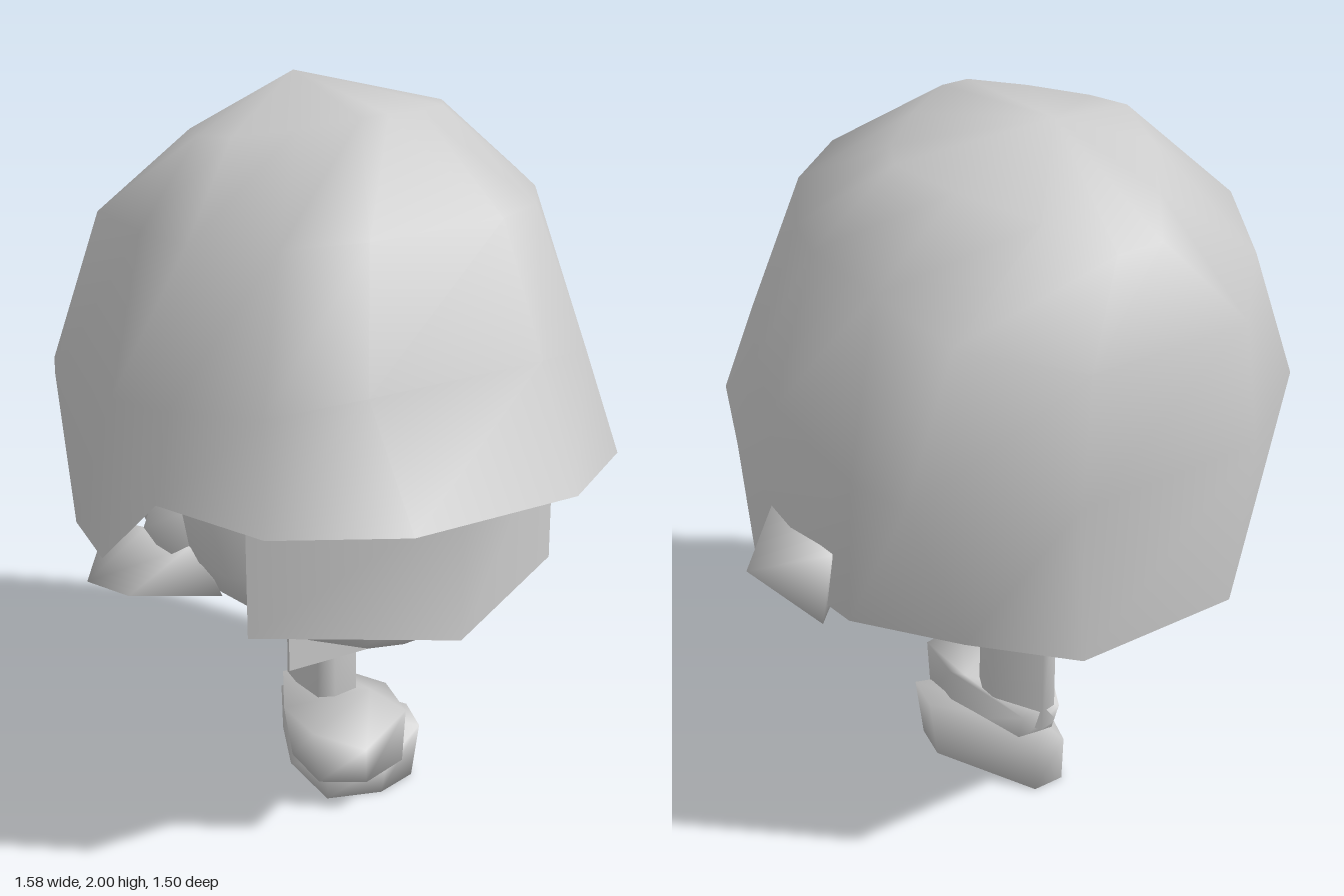
import * as THREE from 'three';
import { mergeVertices } from 'three/addons/utils/BufferGeometryUtils.js';
import { ConvexGeometry } from 'three/addons/geometries/ConvexGeometry.js';

const MID = -0.055; // x of the figure's mirror plane
const V = (p) => new THREE.Vector3(...p);

// Smooth skin over closed loops of [x, y, z], running front -> +x -> back, from low to high.
function loft(loops, bottom, top) {
  const n = loops[0].length, index = [], verts = loops.flat();
  for (let i = 0; i < loops.length - 1; i++) {
    for (let j = 0; j < n; j++) {
      const a = i * n + j, b = i * n + (j + 1) % n;
      index.push(a, b, b + n, a, b + n, a + n);
    }
  }
  const cap = (centre, start, flip) => {
    const c = verts.push(centre) - 1;
    for (let j = 0; j < n; j++) {
      const a = start + j, b = start + (j + 1) % n;
      index.push(c, flip ? b : a, flip ? a : b);
    }
  };
  if (bottom) cap(bottom, 0, true);
  if (top) cap(top, (loops.length - 1) * n, false);
  const g = new THREE.BufferGeometry();
  g.setAttribute('position', new THREE.Float32BufferAttribute(verts.flat(), 3));
  g.setIndex(index);
  g.computeVertexNormals();
  return g;
}

// Smooth-shaded convex solid around a few corners.
function hull(points) {
  let g = new ConvexGeometry(points.map(V));
  g.deleteAttribute('normal');
  g = mergeVertices(g);
  g.computeVertexNormals();
  return g;
}

// Full loop from the +x half of it.
const mirrorLoop = (half) => [...half, ...half.map(([x, y, z]) => [-x, y, z]).reverse()];

export function createModel() {
  const group = new THREE.Group();
  const material = new THREE.MeshStandardMaterial({ color: 0xcccccc, side: THREE.DoubleSide });
  const add = (name, geometry, x = MID) => {
    const mesh = new THREE.Mesh(geometry, material);
    mesh.name = name;
    mesh.position.x = x;
    group.add(mesh);
    return mesh;
  };

  // Bowl-shaped hair: rim, three bands, crown
  const hair = [
    [[0.235, 1.12, 0.75], [0.52, 1.09, 0.53], [0.66, 1.09, 0.22], [0.73, 0.88, 0.03],
      [0.66, 0.825, -0.31], [0.46, 0.795, -0.53], [0.24, 0.77, -0.73]],
    [[0.25, 1.41, 0.56], [0.47, 1.36, 0.44], [0.61, 1.32, 0.2], [0.67, 1.3, 0],
      [0.675, 1.25, -0.36], [0.615, 1.23, -0.51], [0.275, 1.23, -0.75]],
    [[0.19, 1.76, 0.46], [0.37, 1.735, 0.34], [0.51, 1.71, 0.13], [0.56, 1.71, -0.03],
      [0.555, 1.69, -0.3], [0.47, 1.61, -0.5], [0.24, 1.57, -0.73]],
    [[0.04, 1.97, 0.16], [0.18, 1.945, 0.09], [0.31, 1.92, -0.01], [0.36, 1.91, -0.1],
      [0.3, 1.88, -0.27], [0.18, 1.83, -0.45], [0.07, 1.78, -0.6]],
  ].map(mirrorLoop);
  add('hair', loft(hair, null, [0, 2, -0.26]));

  // Head: slightly squared rings of [y, half width, front z, back z]
  const soften = (v) => Math.sign(v) * Math.abs(v) ** 0.87;
  const head = [[0.565, 0.17, 0.32, -0.13], [0.62, 0.29, 0.4, -0.22], [0.72, 0.42, 0.47, -0.37],
    [0.85, 0.54, 0.48, -0.58], [1.05, 0.59, 0.46, -0.66], [1.4, 0.52, 0.38, -0.62]]
    .map(([y, rx, front, back]) => Array.from({ length: 12 }, (_, i) => {
      const a = (i / 12) * Math.PI * 2;
      return [rx * soften(Math.sin(a)), y,
        (front + back) / 2 + (front - back) / 2 * soften(Math.cos(a))];
    }));
  add('head', loft(head, [0, 0.52, 0.06], [0, 1.6, -0.1]));

  // Visor: a strip around the face, folded once at the middle
  const strip = new THREE.PlaneGeometry(1, 1, 2, 1);
  [[-0.465, 0.32], [0, 0.6], [0.465, 0.32]].forEach(([x, z], i) => {
    strip.attributes.position.setXYZ(i, x, 1.11, z);
    strip.attributes.position.setXYZ(i + 3, x, 0.71, z);
  });
  strip.computeVertexNormals();
  add('visor', strip);

  // Small pointed ears
  for (const s of [1, -1]) {
    add(s > 0 ? 'leftEar' : 'rightEar', hull([[0.46, 1.02, 0.14], [0.62, 0.95, 0.05],
      [0.48, 0.77, 0.1], [0.53, 0.81, -0.02], [0.57, 1.03, 0.02], [0.4, 0.92, 0.08]]
      .map(([x, y, z]) => [s * x, y, z])));
  }

  // Faceted bud by the left ear
  add('leftBud', hull([[0.785, 0.94, -0.12], [0.64, 1.05, -0.02], [0.63, 1.01, -0.28],
    [0.64, 0.79, -0.24], [0.66, 0.8, 0], [0.48, 0.83, -0.1], [0.5, 1.0, -0.12]]), 0);

  // Flared flap by the right ear
  add('rightFlap', hull([[-0.62, 0.89, -0.06], [-0.57, 0.89, 0.1], [-0.79, 0.77, -0.07],
    [-0.73, 0.77, 0.06], [-0.52, 0.77, 0.18], [-0.5, 0.8, 0.05],
    [-0.66, 0.86, -0.22], [-0.55, 0.77, -0.28]]), 0);

  // Flat collar in front of the neck
  const collar = add('collar', new THREE.PlaneGeometry(0.465, 0.26));
  collar.position.set(-0.052, 0.57, 0.1);

  // Slim body: one uneven column from head to shoes
  const column = [[-0.08, -0.01], [0, -0.03], [0.02, -0.07], [0.02, -0.12], [-0.06, -0.25],
    [-0.11, -0.24], [-0.125, -0.16], [-0.125, -0.03]];
  add('body', loft([0.16, 0.64].map((y) => column.map(([x, z]) => [x, y, z])),
    [-0.05, 0.16, -0.13], [-0.05, 0.64, -0.13]), 0);

  // Shoes: plan points [x, z, lower y, upper y]; the sole is the outline scaled by taper
  const shoe = (name, outline, centre, taper) => {
    const ring = (k, s) => outline.map((p) =>
      [centre[0] + (p[0] - centre[0]) * s, p[k], centre[1] + (p[1] - centre[1]) * s]);
    const mean = (k) => outline.reduce((t, p) => t + p[k], 0) / outline.length;
    add(name, loft([ring(2, taper), ring(3, 1)],
      [centre[0], mean(2), centre[1]], [centre[0], mean(3), centre[1]]), 0);
  };
  shoe('rightShoe', [[-0.13, 0.25, 0.1, 0.22], [0.04, 0.18, 0.09, 0.26], [0.07, 0.02, 0.09, 0.26],
    [0.0, -0.24, 0.12, 0.22], [-0.12, -0.25, 0.12, 0.22], [-0.24, -0.02, 0.09, 0.25],
    [-0.245, 0.16, 0.09, 0.26]], [0.03, 0], 0.91);
  shoe('leftShoe', [[-0.02, 0.18, 0, 0.11], [0.11, 0.14, 0, 0.17], [0.14, 0.02, 0, 0.17],
    [0.0, -0.3, 0, 0.14], [-0.1, -0.3, 0, 0.14], [-0.18, -0.1, 0, 0.12],
    [-0.18, 0.13, 0, 0.12]], [-0.1, -0.2], 0.94);

  return group;
}
